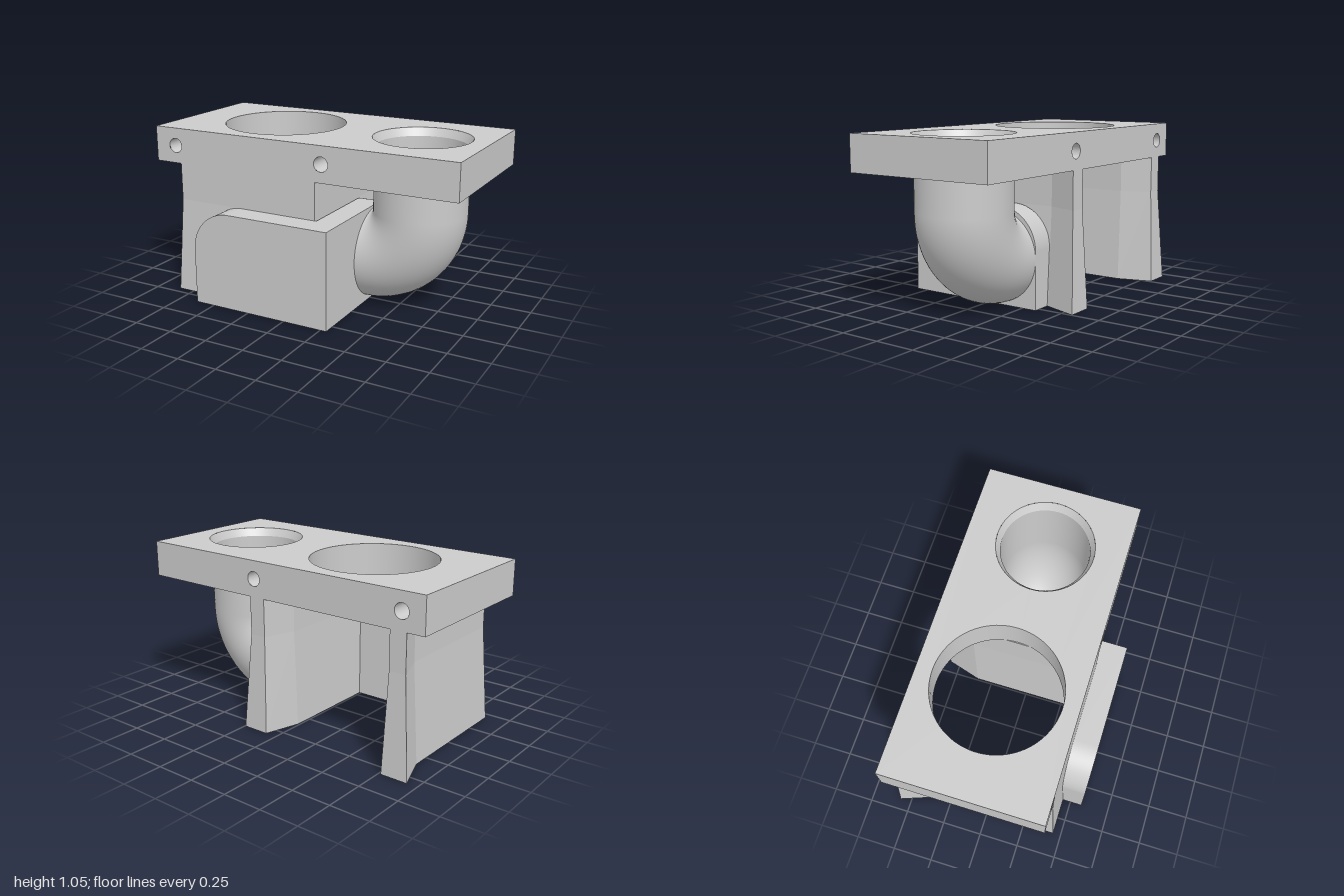
import * as THREE from 'three';

const grey = new THREE.MeshStandardMaterial({ color: 0xcccccc });
const thin = new THREE.MeshStandardMaterial({ color: 0xcccccc, side: THREE.DoubleSide });

const TOP = 1.05, UNDER = 0.83, SHOULDER = 0.6;   // heights
const FRONT = 0.42, BACK = -0.54;                 // plate depth
const CX = -0.345, PIPE_X = 0.59, CZ = -0.06;     // hole centres

function add(parent, name, geometry, material = grey) {
  const mesh = new THREE.Mesh(geometry, material);
  mesh.name = name;
  parent.add(mesh);
  return mesh;
}

// Rectangle with round holes [x, y, radius]
function panel(x0, y0, x1, y1, holes = []) {
  const s = new THREE.Shape();
  s.moveTo(x0, y0).lineTo(x1, y0).lineTo(x1, y1).lineTo(x0, y1).closePath();
  for (const [x, y, r] of holes) s.holes.push(new THREE.Path().absarc(x, y, r, 0, Math.PI * 2, true));
  return new THREE.ShapeGeometry(s, 48);
}

// Closed loft through rings of [x, y, z], capped at both ends, with flat faces
function loft(rings) {
  const n = rings[0].length, index = [];
  for (let r = 0; r < rings.length - 1; r++) {
    for (let i = 0; i < n; i++) {
      const j = (i + 1) % n, a = r * n + i, b = r * n + j;
      index.push(a, b, b + n, a, b + n, a + n);
    }
  }
  const cap = (ring) => THREE.ShapeUtils.triangulateShape(ring.map((p) => new THREE.Vector2(p[0], -p[2])), []);
  const last = (rings.length - 1) * n;
  for (const [a, b, c] of cap(rings[0])) index.push(c, b, a);
  for (const [a, b, c] of cap(rings[rings.length - 1])) index.push(last + a, last + b, last + c);
  const g = new THREE.BufferGeometry();
  g.setAttribute('position', new THREE.Float32BufferAttribute(rings.flat(2), 3));
  g.setIndex(index);
  const flat = g.toNonIndexed();
  flat.computeVertexNormals();
  return flat;
}

// U-shaped plan: t = flare (0 at the shoulder, 1 at the foot), w = inset for the hollow
function uRing(y, t, w = 0) {
  const half = [
    [0.475 + 0.035 * t - w, FRONT + 0.03 * t - w],
    [0.475 + 0.035 * t - w, -0.35],
    [0.545 + 0.045 * t - w, BACK - 0.03 * t + w],
    [0.44 - 0.02 * t + w, BACK - 0.03 * t + w],
    [0.375 - 0.02 * t + w, -0.35],
    [0.375 - 0.02 * t + w, 0.32 - 0.03 * t + w],
  ];
  const mirrored = half.map(([x, z]) => [-x, z]).reverse();
  return [...half, ...mirrored].map(([x, z]) => [CX + x, y, z]);
}

function mountingPlate() {
  const g = new THREE.Group();
  g.name = 'mountingPlate';
  const bolts = [[-0.855, 0.94, 0.045], [0.17, 0.94, 0.045]];

  // Upper and lower faces with the two large openings
  const top = add(g, 'plateTop', panel(-1, -FRONT, 1, -BACK, [[CX, -CZ, 0.382], [PIPE_X, -CZ, 0.297]]));
  top.rotation.x = -Math.PI / 2;
  top.position.y = TOP;
  const under = add(g, 'plateUnderside', panel(-1, BACK, 1, FRONT, [[CX, CZ, 0.382], [PIPE_X, CZ, 0.27]]));
  under.rotation.x = Math.PI / 2;
  under.position.y = UNDER;

  // Front and back faces with the bolt holes
  add(g, 'plateFront', panel(-1, UNDER, 1, TOP, bolts)).position.z = FRONT;
  const back = add(g, 'plateBack', panel(-1, UNDER, 1, TOP, bolts.map(([x, y, r]) => [-x, y, r])));
  back.rotation.y = Math.PI;
  back.position.z = BACK;

  // End faces
  for (const side of [-1, 1]) {
    const end = add(g, 'plateEnd', new THREE.PlaneGeometry(FRONT - BACK, TOP - UNDER));
    end.rotation.y = side * Math.PI / 2;
    end.position.set(side, (TOP + UNDER) / 2, CZ);
  }

  // Bore linings
  const bore = add(g, 'largeBore', new THREE.CylinderGeometry(0.382, 0.382, TOP - UNDER, 96, 1, true), thin);
  bore.position.set(CX, (TOP + UNDER) / 2, CZ);
  for (const [x, y, r] of bolts) {
    const hole = add(g, 'boltHole', new THREE.CylinderGeometry(r, r, FRONT - BACK, 32, 1, true), thin);
    hole.rotation.x = Math.PI / 2;
    hole.position.set(x, y, CZ);
  }
  const chamfer = add(g, 'pipeChamfer', new THREE.CylinderGeometry(0.297, 0.27, 0.05, 64, 1, true), thin);
  chamfer.position.set(PIPE_X, TOP - 0.025, CZ);
  return g;
}

function elbowPipe() {
  const g = new THREE.Group();
  g.name = 'elbowPipe';
  for (const [name, r, top] of [['Outside', 0.285, UNDER], ['Inside', 0.27, TOP - 0.05]]) {
    const straight = add(g, 'pipe' + name, new THREE.CylinderGeometry(r, r, top - SHOULDER, 64, 1, true), thin);
    straight.position.set(PIPE_X, (top + SHOULDER) / 2, CZ);
    const bend = add(g, 'bend' + name, new THREE.TorusGeometry(0.3, r, 64, 48, Math.PI / 2), thin);
    bend.rotation.z = -Math.PI / 2;
    bend.position.set(0.29, SHOULDER, CZ);
  }
  return g;
}

function airBox() {
  const g = new THREE.Group();
  g.name = 'airBox';
  const R = 0.25;

  // Front chamber, rounded at its far upper corner
  const front = new THREE.Shape();
  front.moveTo(-0.625, 0).lineTo(0.29, 0).lineTo(0.29, SHOULDER).lineTo(-0.625 + R, SHOULDER);
  front.absarc(-0.625 + R, SHOULDER - R, R, Math.PI / 2, Math.PI, false);
  front.closePath();
  const chamber = new THREE.ExtrudeGeometry(front, { depth: 0.155, bevelEnabled: false, curveSegments: 24 });
  add(g, 'frontChamber', chamber).position.z = FRONT;

  // Side chamber along the wall, with the pipe's inlet
  const side = new THREE.Shape();
  side.moveTo(-FRONT, 0).lineTo(0.345, 0).lineTo(0.345, SHOULDER - R);
  side.absarc(0.345 - R, SHOULDER - R, R, 0, Math.PI / 2, false);
  side.lineTo(-FRONT, SHOULDER).closePath();
  side.holes.push(new THREE.Path().absarc(-CZ, 0.3, 0.27, 0, Math.PI * 2, true));
  const inlet = add(g, 'sideChamber',
    new THREE.ExtrudeGeometry(side, { depth: 0.15, bevelEnabled: false, curveSegments: 32 }));
  inlet.rotation.y = Math.PI / 2;
  inlet.position.x = 0.14;
  return g;
}

export function createModel() {
  const model = new THREE.Group();
  model.name = 'ductBracket';
  model.add(mountingPlate(), elbowPipe(), airBox());

  // Hollow flared skirt, open in a slot along its foot
  add(model, 'ductSkirt', loft([
    uRing(0.58, 0, 0.015),
    uRing(0, 1, 0.015),
    uRing(0, 1),
    uRing(SHOULDER, 0),
    uRing(UNDER, 0),
  ]));
  return model;
}
